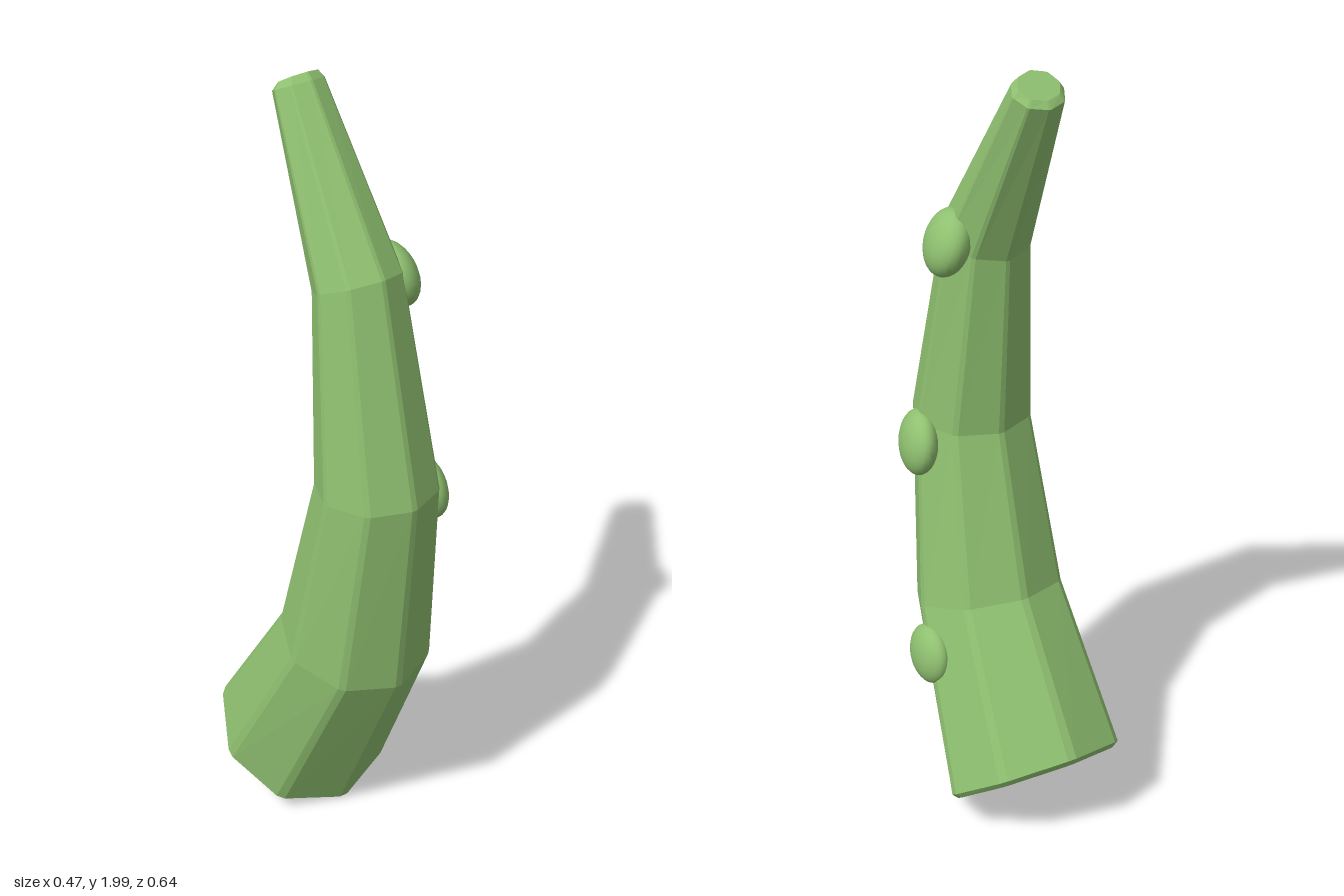
import * as THREE from 'three';

const SIDES = 8;

// Octagon outline (corners slightly cut) as [sideways, forward] pairs
function outline() {
  const corner = (k) => {
    const a = (k / SIDES) * Math.PI * 2;
    return new THREE.Vector2(Math.sin(a), Math.cos(a));
  };
  const points = [];
  for (let k = 0; k < SIDES; k++) {
    points.push(corner(k).lerp(corner(k - 1), 0.07), corner(k).lerp(corner(k + 1), 0.07));
  }
  return points;
}

// Each ring: front z, front y, back z, back y, half width
const RINGS = [
  [0.033, 0.01, -0.312, 0.27, 0.225],
  [0.05, 0.015, -0.322, 0.292, 0.24],
  [0.275, 0.52, -0.09, 0.635, 0.195],
  [0.322, 1.06, 0.022, 1.05, 0.152],
  [0.19, 1.6, -0.008, 1.515, 0.11],
  [-0.08, 1.985, -0.184, 1.935, 0.066],
  [-0.097, 2.0, -0.173, 1.952, 0.053],
];

// Skin the rings and close both ends
function stalkGeometry() {
  const shape = outline();
  const n = shape.length;
  const positions = [];
  const index = [];
  RINGS.forEach(([fz, fy, bz, by, w]) => {
    for (const p of shape) {
      const t = (1 + p.y) / 2;
      positions.push(w * p.x, by + (fy - by) * t, bz + (fz - bz) * t);
    }
  });
  for (let r = 0; r < RINGS.length - 1; r++) {
    for (let i = 0; i < n; i++) {
      const a = r * n + i;
      const b = r * n + ((i + 1) % n);
      index.push(a, b, b + n, a, b + n, a + n);
    }
  }
  const top = (RINGS.length - 1) * n;
  for (let i = 1; i < n - 1; i++) {
    index.push(0, i + 1, i);
    index.push(top, top + i, top + i + 1);
  }
  const indexed = new THREE.BufferGeometry();
  indexed.setAttribute('position', new THREE.Float32BufferAttribute(positions, 3));
  indexed.setIndex(index);
  const geometry = indexed.toNonIndexed();
  geometry.computeVertexNormals();
  return geometry;
}

export function createModel() {
  const model = new THREE.Group();
  model.name = 'curvedStalk';
  const green = new THREE.MeshStandardMaterial({ color: 0x8fc070 });
  green.name = 'leaf green';

  const stalk = new THREE.Mesh(stalkGeometry(), green);
  stalk.name = 'stalk';
  model.add(stalk);

  // Flattened buds along the left side: x, y, z, radius, half depth, lean up, turn forward
  const buds = [
    [0.195, 0.46, 0.052, 0.077, 0.04, 0.1, 0],
    [0.15, 1.0, 0.172, 0.083, 0.045, 0.15, -0.2],
    [0.105, 1.55, 0.092, 0.083, 0.052, 0.35, -0.25],
  ];
  const ball = new THREE.SphereGeometry(1, 24, 16);
  buds.forEach(([x, y, z, radius, depth, lean, turn], i) => {
    const bud = new THREE.Mesh(ball, green);
    bud.name = `bud${i + 1}`;
    bud.position.set(x, y, z);
    bud.scale.set(depth, radius, radius);
    bud.rotation.set(0, turn, lean);
    model.add(bud);
  });
  return model;
}
